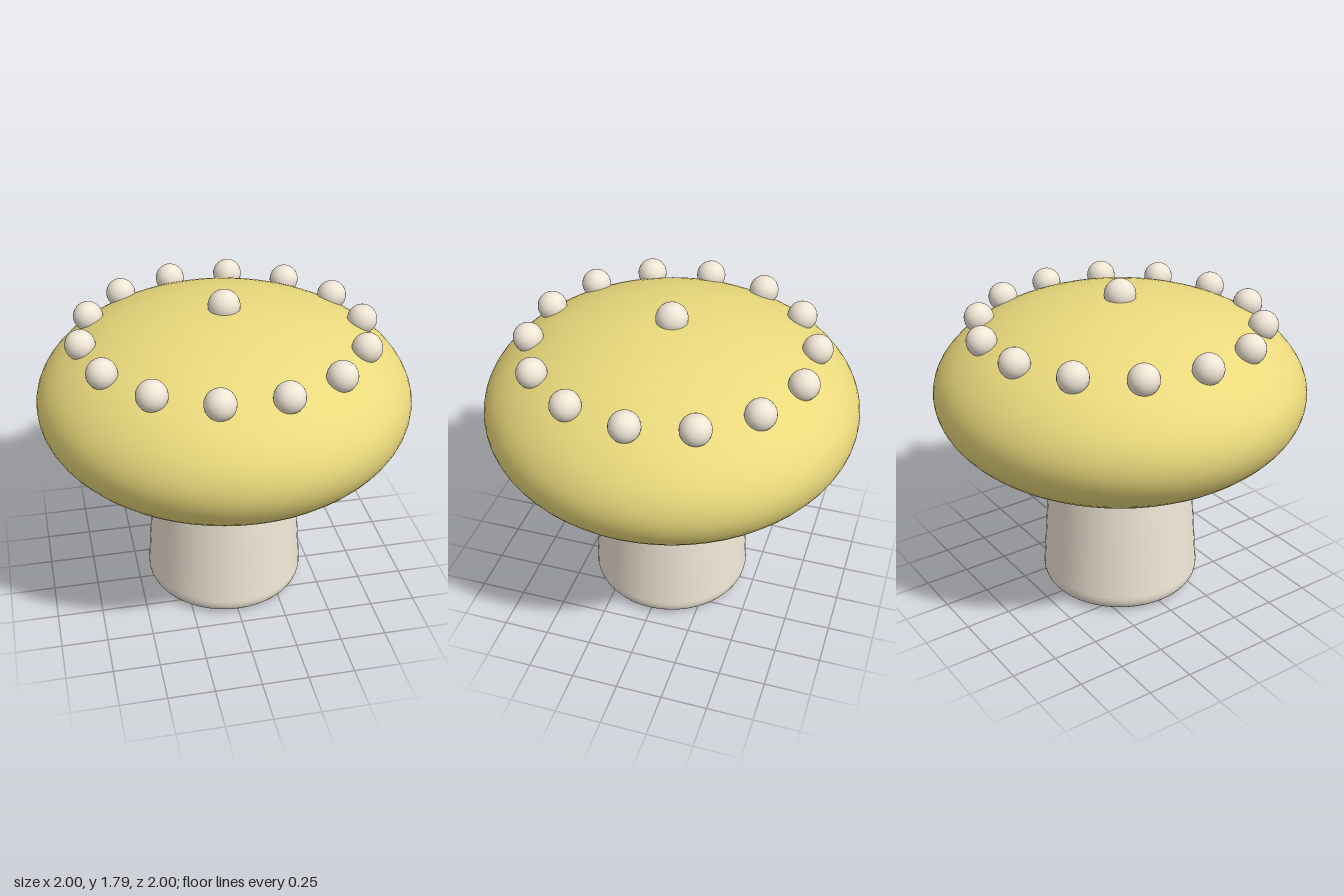
import * as THREE from 'three';

const CAP_Y = 1.19, CAP_R = 1, CAP_H = 0.5;

export function createModel() {
  const group = new THREE.Group();
  const cream = new THREE.MeshStandardMaterial({ color: 0xf0e6d6 });
  const yellow = new THREE.MeshStandardMaterial({ color: 0xead97c });

  const add = (name, geometry, material, x = 0, y = 0, z = 0) => {
    const mesh = new THREE.Mesh(geometry, material);
    mesh.name = name;
    mesh.position.set(x, y, z);
    group.add(mesh);
    return mesh;
  };

  // Cap: a flattened sphere
  const cap = add('cap', new THREE.SphereGeometry(CAP_R, 64, 40), yellow, 0, CAP_Y, 0);
  cap.scale.y = CAP_H;

  // Stem: tapered, with a rounded foot and a flat base; its top is hidden in the cap
  const profile = [new THREE.Vector2(0, 0), new THREE.Vector2(0.36, 0)];
  const foot = new THREE.CubicBezierCurve(
    new THREE.Vector2(0.36, 0), new THREE.Vector2(0.41, 0.005),
    new THREE.Vector2(0.445, 0.04), new THREE.Vector2(0.44, 0.1));
  profile.push(...foot.getPoints(8));
  profile.push(new THREE.Vector2(0.395, 0.73), new THREE.Vector2(0.385, 0.85), new THREE.Vector2(0, 0.85));
  add('stem', new THREE.LatheGeometry(profile, 48), cream);

  // Ring of spots around the upper cap
  const spot = new THREE.SphereGeometry(0.08, 24, 16);
  const count = 14;
  for (let i = 0; i < count; i++) {
    const a = (i / count) * Math.PI * 2;
    add('spot', spot, cream, Math.cos(a) * 0.75, 1.555, Math.sin(a) * 0.75);
  }

  // Spot on the crown
  add('crownSpot', new THREE.SphereGeometry(0.085, 24, 16), cream, 0, 1.705, 0);

  return group;
}
